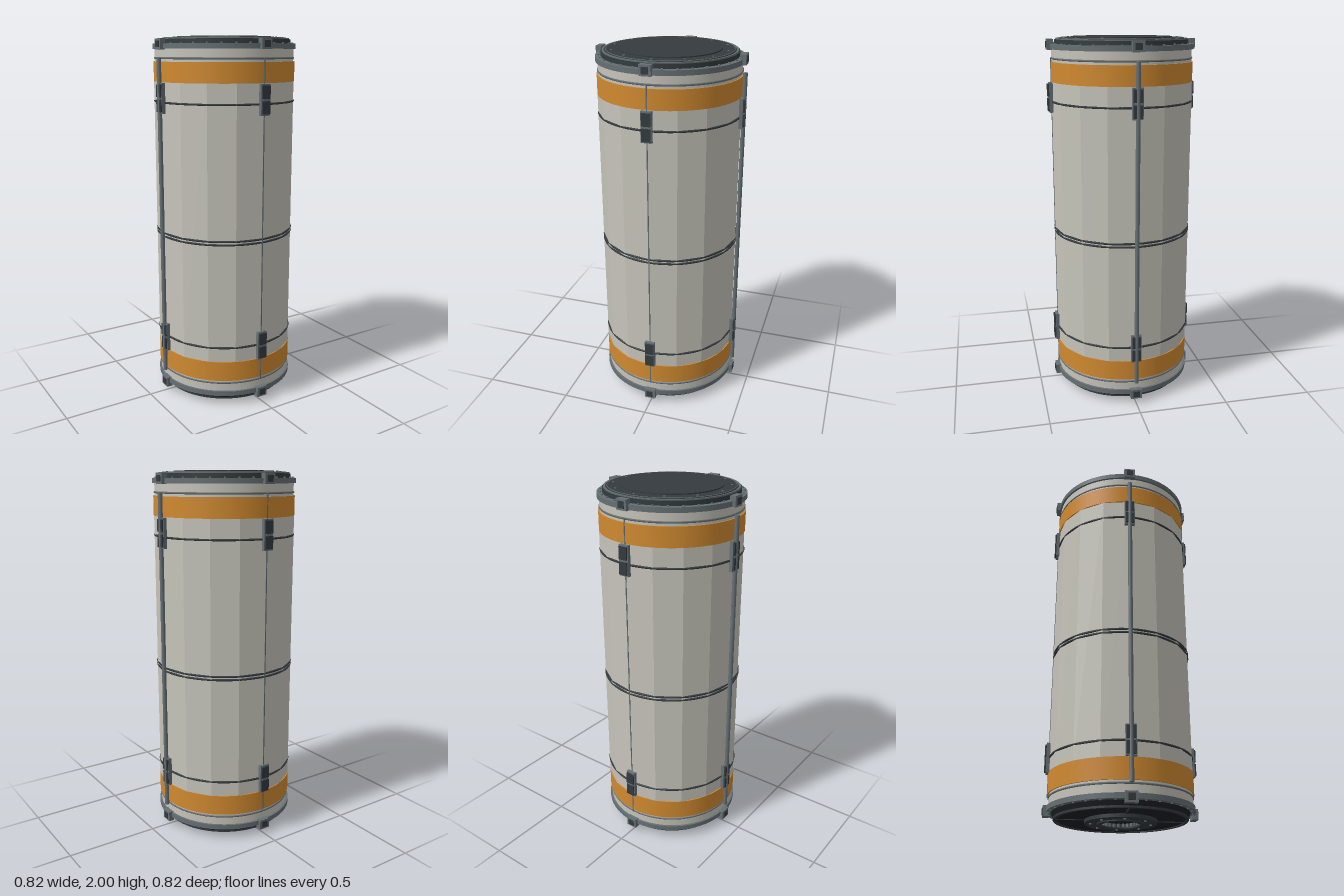
import * as THREE from 'three';

const mat = (color, extra = {}) => new THREE.MeshStandardMaterial({ color, ...extra });

export function createModel() {
  const root = new THREE.Group();
  root.name = 'canister';
  const shell = mat(0xc6c4ba, { flatShading: true });
  const pale = mat(0xc6c4ba);
  const orange = mat(0xd08a30);
  const steel = mat(0x667074);
  const dark = mat(0x353b3f);
  const black = mat(0x1d2023);

  const add = (name, geo, material, parent = root) => {
    const m = new THREE.Mesh(geo, material);
    m.name = name;
    parent.add(m);
    return m;
  };
  const cyl = (name, r, y0, y1, material, sides = 64, rTop = r) => {
    const m = add(name, new THREE.CylinderGeometry(rTop, r, y1 - y0, sides), material);
    m.position.y = (y0 + y1) / 2;
    return m;
  };
  // Square-edged ring made as extruded annulus
  const ring = (name, inner, outer, y0, y1, material) => {
    const s = new THREE.Shape().absarc(0, 0, outer, 0, Math.PI * 2);
    s.holes.push(new THREE.Path().absarc(0, 0, inner, 0, Math.PI * 2, true));
    const geo = new THREE.ExtrudeGeometry(s, { depth: y1 - y0, bevelEnabled: false, curveSegments: 64 });
    geo.rotateX(-Math.PI / 2);
    const m = add(name, geo, material);
    m.position.y = y0;
    return m;
  };
  const hoop = (name, r, tube, y, material) => {
    const m = add(name, new THREE.TorusGeometry(r, tube, 6, 64), material);
    m.rotation.x = Math.PI / 2;
    m.position.y = y;
  };
  const box = (name, w, h, d, x, y, z, material, parent) => {
    add(name, new THREE.BoxGeometry(w, h, d), material, parent).position.set(x, y, z);
  };
  const bolts = (name, count, r, y, size, material) => {
    for (let i = 0; i < count; i++) {
      const a = (i / count) * Math.PI * 2;
      const b = add(name, new THREE.CylinderGeometry(size, size, 0.008, 8), material);
      b.position.set(Math.sin(a) * r, y, Math.cos(a) * r);
    }
  };

  // Faceted shell with smooth ends
  cyl('shell', 0.386, 0.25, 1.77, shell, 16);
  cyl('lowerShellEnd', 0.379, 0.07, 0.25, pale);
  cyl('upperShellEnd', 0.379, 1.77, 1.94, pale);

  // Coloured bands and narrow seams
  cyl('lowerBand', 0.386, 0.145, 0.257, orange);
  cyl('upperBand', 0.386, 1.765, 1.87, orange);
  for (const y of [0.34, 0.927, 0.945, 1.66]) hoop('seam', 0.382, 0.006, y, dark);
  for (const y of [0.13, 1.888]) hoop('edgeSeam', 0.378, 0.006, y, steel);

  // Upper flange and lid
  cyl('upperFlange', 0.39, 1.935, 1.962, steel);
  bolts('flangeBolt', 32, 0.373, 1.964, 0.006, steel);
  cyl('lidBase', 0.361, 1.96, 1.985, dark);
  ring('lidRim', 0.345, 0.354, 1.984, 1.991, steel);
  cyl('lid', 0.336, 1.984, 1.994, dark);
  hoop('lidEdge', 0.335, 0.002, 1.993, steel);
  cyl('lidCentre', 0.272, 1.993, 2.0, dark);
  bolts('lidBolt', 12, 0.309, 1.994, 0.006, steel);

  // Lower flange, base and hollow socket
  cyl('lowerFlange', 0.39, 0.055, 0.082, steel);
  bolts('lowerFlangeBolt', 32, 0.375, 0.054, 0.006, steel);
  cyl('basePlate', 0.35, 0.024, 0.056, black, 64, 0.362);
  ring('baseRim', 0.335, 0.352, 0.019, 0.03, dark);
  ring('socketFlange', 0.1, 0.19, 0.006, 0.026, dark);
  ring('socketLip', 0.1, 0.125, 0, 0.01, dark);
  bolts('socketBolt', 8, 0.158, 0.004, 0.007, steel);
  for (let i = 0; i < 24; i++) {
    const g = new THREE.Group();
    g.name = 'socketTooth';
    g.rotation.y = (i / 24) * Math.PI * 2;
    box('tooth', 0.012, 0.018, 0.014, 0, 0.015, 0.095, steel, g);
    root.add(g);
  }

  // Fittings repeated on four sides
  for (let i = 0; i < 4; i++) {
    const side = new THREE.Group();
    side.name = 'sideFittings';
    side.rotation.y = (i * Math.PI) / 2;
    root.add(side);
    for (const y of [0.06, 1.96]) {
      box('clamp', 0.062, 0.055, 0.032, 0, y, 0.39, steel, side);
      box('clampFace', 0.036, 0.034, 0.012, 0, y, 0.404, dark, side);
    }
    for (const y of [0.338, 1.682]) {
      box('latchPlate', 0.056, 0.16, 0.022, 0, y, 0.389, steel, side);
      for (const s of [-1, 1]) box('latchBlock', 0.048, 0.066, 0.02, 0, y + s * 0.039, 0.398, dark, side);
      box('latchPin', 0.034, 0.01, 0.018, 0, y, 0.396, steel, side);
    }
    // Round rods left and right, slim strips front and back
    if (i % 2) {
      const rod = add('rod', new THREE.CylinderGeometry(0.012, 0.012, 1.76, 12), steel, side);
      rod.position.set(0, 1.01, 0.4);
    } else {
      box('strip', 0.006, 1.76, 0.006, 0, 1.01, 0.385, steel, side);
    }
    // Radial rib under the base
    box('baseRib', 0.008, 0.006, 0.15, 0, 0.023, 0.262, dark, side);
  }
  return root;
}
